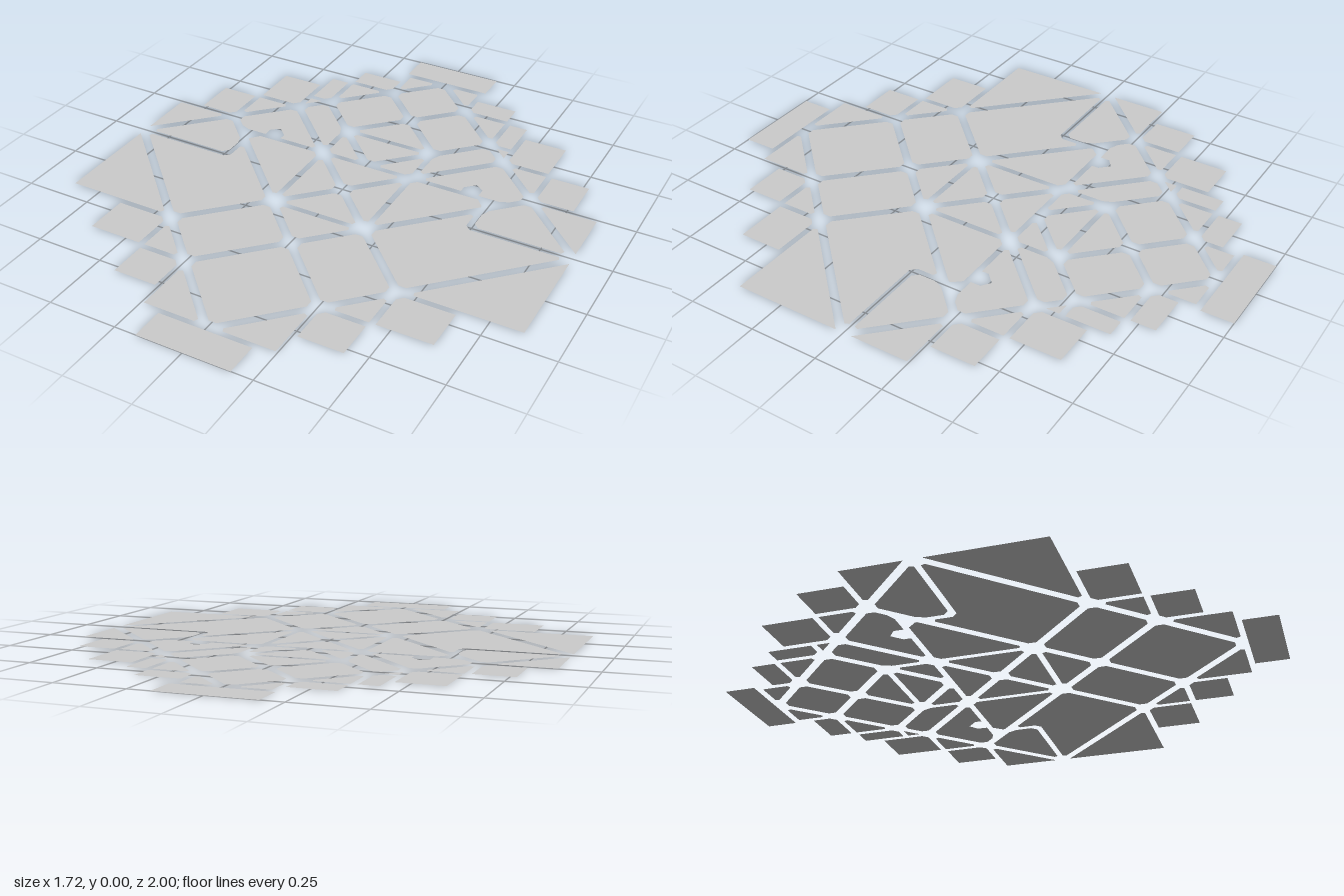
import * as THREE from 'three';

const material = new THREE.MeshStandardMaterial({ color: 0xcccccc, side: THREE.DoubleSide });

const Q = 0.183;   // grid step of the inner diagonals
const R = 0.871;   // half diagonal of the diamond border
const DIAGONAL_GAP = 0.015, STRAIGHT_GAP = 0.011, CUT = 0.02;

// points where an inner diagonal (x + z = sum) meets the border
const back = (sum) => [(sum + R) / 2, (sum - R) / 2];
const front = (diff) => [(R + diff) / 2, (R - diff) / 2];

// move every edge of a cell inward by half a gap
function inset(cell) {
  const n = cell.length;
  let area = 0;
  cell.forEach(([x, z], i) => {
    const [u, v] = cell[(i + 1) % n];
    area += x * v - u * z;
  });
  const s = Math.sign(area);
  const lines = cell.map(([x, z], i) => {
    const [u, v] = cell[(i + 1) % n];
    const len = Math.hypot(u - x, v - z);
    const nx = -s * (v - z) / len, nz = s * (u - x) / len;
    const straight = Math.abs(u - x) < 1e-6 || Math.abs(v - z) < 1e-6;
    return [nx, nz, nx * x + nz * z + (straight ? STRAIGHT_GAP : DIAGONAL_GAP)];
  });
  return cell.map((p, i) => {
    const [a, b, c] = lines[(i + n - 1) % n], [d, e, f] = lines[i];
    const det = a * e - b * d;
    return [(c * e - b * f) / det, (a * f - c * d) / det];
  });
}

// clip the corners that meet at a crossing of gaps
function clipCorners(points, cell) {
  const n = points.length, out = [];
  points.forEach((p, i) => {
    const sides = [points[(i + n - 1) % n], points[(i + 1) % n]];
    const lengths = sides.map((q) => Math.hypot(q[0] - p[0], q[1] - p[1]));
    const inside = Math.abs(cell[i][0]) + Math.abs(cell[i][1]) < R + 0.004;
    if (!inside || Math.min(...lengths) < 0.06) return out.push(p);
    sides.forEach((q, k) => {
      const t = CUT / lengths[k];
      out.push([p[0] + (q[0] - p[0]) * t, p[1] + (q[1] - p[1]) * t]);
    });
  });
  return out;
}

function panel(name, cell) {
  const points = clipCorners(inset(cell), cell);
  const shape = new THREE.Shape(points.map(([x, z]) => new THREE.Vector2(x, -z)));
  const mesh = new THREE.Mesh(new THREE.ShapeGeometry(shape).rotateX(-Math.PI / 2), material);
  mesh.name = name;
  return mesh;
}

const rect = (x0, x1, z0, z1) => [[x0, z0], [x1, z0], [x1, z1], [x0, z1]];

export function createModel() {
  const group = new THREE.Group();
  group.name = 'panelledSheet';

  const b1 = back(-3 * Q), b2 = back(-Q), b3 = back(0), b4 = back(2 * Q);
  const f1 = front(0), f2 = front(-2 * Q);
  const hub = [0.488, 2 * Q - 0.488];
  const edge = 0.873, end = 1 + STRAIGHT_GAP;
  const flip = ([x, z]) => [-x, z];

  // panels lying across the centre line
  const central = {
    backTab: rect(-0.183, 0.183, -end, -0.874),
    frontTab: rect(-0.183, 0.183, 0.869, end),
    backDiamond: [[0, -R], b1, [0, -3 * Q], flip(b1)],
    backTriangle: [[0, -3 * Q], [Q, -2 * Q], [-Q, -2 * Q]],
    upperInnerTriangle: [[-Q, -2 * Q], [Q, -2 * Q], [0, -Q]],
    centreBackTriangle: [[-Q, -Q], [Q, -Q], [0, 0]],
    centreFrontTriangle: [[-Q, Q], [Q, Q], [0, 0]],
    lowerInnerTriangle: [[-Q, Q], [Q, Q], [0, 2 * Q]],
    frontDiamond: [[0, 2 * Q], f2, [0, R], flip(f2)],
  };

  // panels repeated on both sides
  const sided = {
    backSquare: [[0, -3 * Q], b1, b2, [Q, -2 * Q]],
    strip: [[Q, -2 * Q], b2, b3, [Q, -Q]],
    innerCorner: [[Q, -2 * Q], [Q, -Q], [0, -Q]],
    centreSideTriangle: [[Q, -Q], [Q, Q], [0, 0]],
    shoulder: [[Q, -Q], b3, b4, [3 * Q, -Q], [0.43, -Q], [0.43, -0.22],
      [0.41, -0.235], [0.385, -0.21], [0.385, -Q]],
    flank: [[Q, -Q], [0.46, -Q], [0.488, -0.15], hub, [Q, Q]],
    sideTriangle: [[hub[0], 0], hub, b4, [R, 0]],
    wing: [[Q, Q], hub, [hub[0], 0], [R, 0], f1],
    frontSquare: [[0, 2 * Q], [Q, Q], f1, f2],
    // stepped tabs outside the border
    backTabA: rect(b1[0], b2[0], -0.82, b1[1]),
    backTabB: rect(b2[0], b3[0], b1[1], b2[1]),
    backTabC: rect(b3[0], b4[0], -0.64, b3[1]),
    backTabD: rect(b4[0], 0.781, b3[1], b4[1]),
    frontTabA: rect(f1[0], 0.655, f1[1], f2[1]),
    frontTabB: rect(f2[0], f1[0], f2[1], 0.781),
  };

  // triangles filling the steps between the border and the tabs
  const steps = [
    [[0, -R], b1], [b1, b2], [b2, b3], [b3, b4], [b4, [edge, edge - R]],
    [[0, R], f2], [f2, f1],
  ];
  steps.forEach(([p, q], i) => {
    sided['stepTriangle' + (i + 1)] = [p, [q[0], p[1]], q];
  });
  sided.frontCornerTriangle = [[edge, R - edge], [edge, f1[1]], f1];

  for (const [name, cell] of Object.entries(central)) group.add(panel(name, cell));
  for (const [name, cell] of Object.entries(sided)) {
    group.add(panel(name + 'Left', cell), panel(name + 'Right', cell.map(flip)));
  }
  return group;
}
